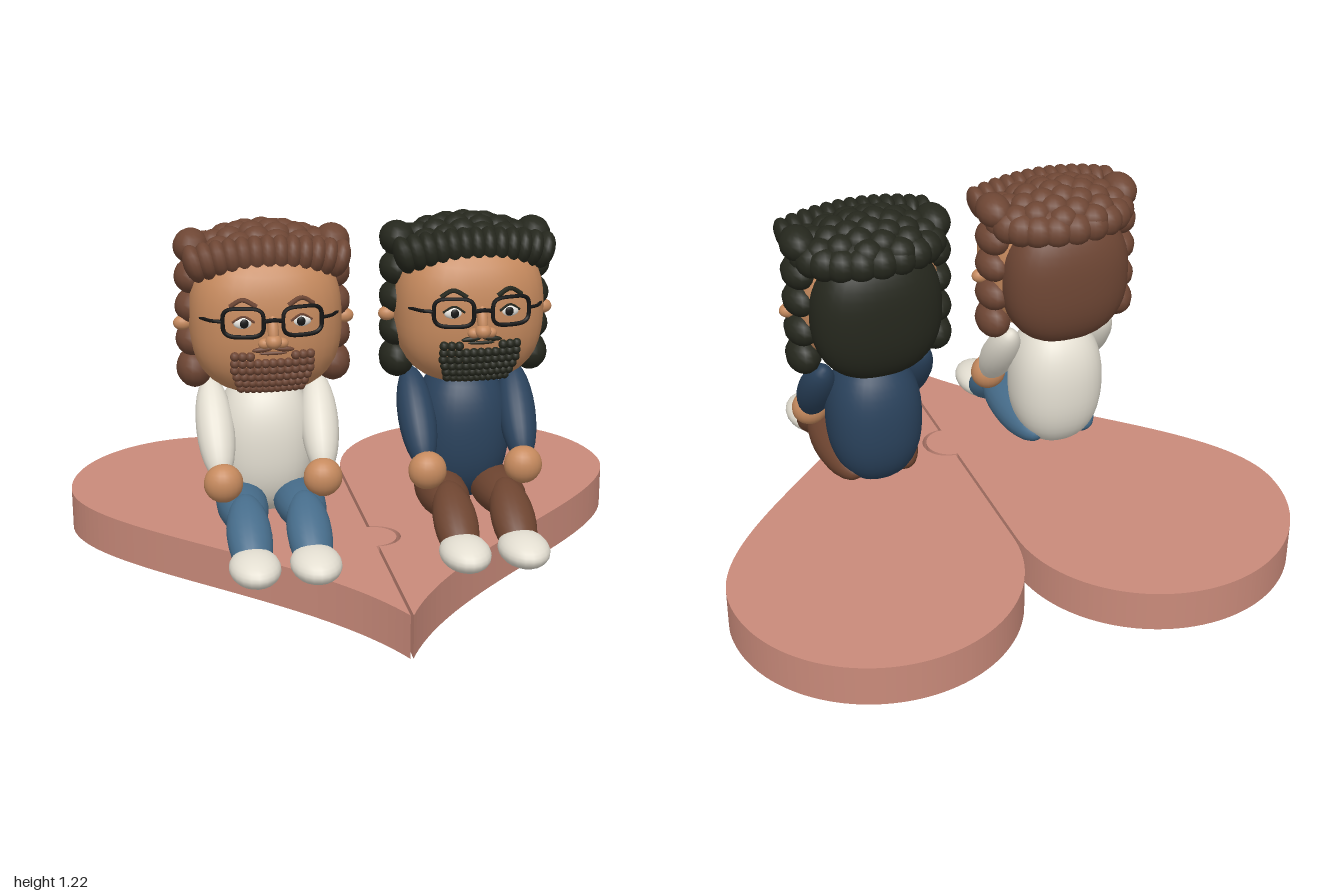
import * as THREE from 'three';

const material = (name, color) => {
  const m = new THREE.MeshStandardMaterial({ color });
  m.name = name;
  return m;
};
const MAT = {
  base: material('dusty rose', 0xc98a7a),
  skin: material('skin', 0xc68a5e),
  brown: material('brown hair', 0x6e4634),
  dark: material('dark hair', 0x25271d),
  cream: material('cream', 0xe4dfd2),
  jeans: material('denim blue', 0x466c8a),
  navy: material('navy', 0x2a425c),
  trousers: material('brown trousers', 0x6d4430),
  black: material('black', 0x151515),
  white: material('white', 0xf2f0ea),
};

// Spheres for body parts, hair curls and small beard curls
const BALL = new THREE.SphereGeometry(1, 20, 14);
const CURL = new THREE.SphereGeometry(1, 14, 10);
const BEAD = new THREE.SphereGeometry(1, 10, 7);
const UP = new THREE.Vector3(0, 1, 0);
const V = (x, y, z) => new THREE.Vector3(x, y, z);

function add(parent, name, geometry, mat) {
  const mesh = new THREE.Mesh(geometry, mat);
  mesh.name = name;
  parent.add(mesh);
  return mesh;
}

function ball(parent, name, mat, pos, radii, geometry = BALL) {
  const mesh = add(parent, name, geometry, mat);
  mesh.position.set(...pos);
  mesh.scale.set(...radii);
  return mesh;
}

// Ellipsoid stretched between two points
function limb(parent, name, mat, a, b, rx, rz = rx) {
  const dir = b.clone().sub(a);
  const mid = a.clone().add(b).multiplyScalar(0.5);
  const mesh = ball(parent, name, mat, mid.toArray(), [rx, dir.length() / 2, rz]);
  mesh.quaternion.setFromUnitVectors(UP, dir.normalize());
}

// Sphere pushed towards a box: higher n is squarer
function softBox(parent, name, mat, pos, radii, n) {
  const g = new THREE.SphereGeometry(1, 36, 24);
  const p = g.attributes.position;
  for (let i = 0; i < p.count; i++) {
    const v = V(0, 0, 0).fromBufferAttribute(p, i);
    const k = (Math.abs(v.x) ** n + Math.abs(v.y) ** n + Math.abs(v.z) ** n) ** (-1 / n);
    p.setXYZ(i, v.x * k * radii[0], v.y * k * radii[1], v.z * k * radii[2]);
  }
  g.computeVertexNormals();
  add(parent, name, g, mat).position.set(...pos);
}

function tube(parent, name, mat, points, radius, closed = false) {
  const curve = new THREE.CatmullRomCurve3(points, closed);
  add(parent, name, new THREE.TubeGeometry(curve, points.length * 3, radius, 6, closed), mat);
}

// Head shape, and the depth of the face at a point on it
const HEAD = { c: [0, 0.91, 0.13], r: [0.25, 0.25, 0.2], n: 2.6 };
function faceZ(x, y) {
  const q = 1 - Math.abs(x / HEAD.r[0]) ** HEAD.n - Math.abs((y - HEAD.c[1]) / HEAD.r[1]) ** HEAD.n;
  return HEAD.c[2] + HEAD.r[2] * Math.max(q, 0) ** (1 / HEAD.n);
}
const onFace = (x, y, lift = 0) => V(x, y, faceZ(x, y) + lift);

// Half of the heart; the right half carries a round tab, the left a notch
function heartHalf(s) {
  const g = 0.005, shape = new THREE.Shape();
  shape.moveTo(s * g, 0.4);
  shape.absarc(s * 0.5, 0.4, 0.5 - g, s > 0 ? Math.PI : 0, s > 0 ? 0 : Math.PI, s > 0);
  shape.bezierCurveTo(s, 0, s * 0.25, -0.35, s * g, -0.88);
  shape.lineTo(s * g, -0.34);
  shape.absarc(s * g, -0.24, s > 0 ? 0.09 : 0.085, -Math.PI / 2, Math.PI / 2, false);
  shape.closePath();
  const geo = new THREE.ExtrudeGeometry(shape, { depth: 0.145, bevelEnabled: false, curveSegments: 48 });
  return geo.rotateX(-Math.PI / 2);
}

function addHair(group, hair) {
  softBox(group, 'backHair', hair, [0, 0.895, 0], [0.225, 0.24, 0.142], 2.4);
  ball(group, 'hairCap', hair, [0, 1.1, 0.06], [0.23, 0.09, 0.18]);
  // Spiral of curls over the crown
  const count = 30;
  for (let i = 0; i < count; i++) {
    const r = Math.sqrt((i + 0.5) / count), a = i * 2.39996;
    ball(group, 'crownCurl', hair,
      [0.205 * r * Math.cos(a), 1.17 - 0.05 * r * r, 0.07 + 0.15 * r * Math.sin(a)], [0.053, 0.05, 0.05], CURL);
  }
  // Rolls round the back of the crown
  for (let i = 0; i <= 10; i++) {
    const a = Math.PI * (1 + i / 10);
    ball(group, 'backCurl', hair, [0.21 * Math.cos(a), 1.1, 0.06 + 0.135 * Math.sin(a)], [0.058, 0.058, 0.058], CURL);
  }
  // Fringe of upright rolls
  for (let i = -6; i <= 6; i++) {
    const t = i / 6;
    const roll = ball(group, 'fringeCurl', hair,
      [0.235 * t, 1.135 - 0.025 * t * t, 0.225 - 0.015 * t * t], [0.034, 0.063, 0.062], CURL);
    roll.rotation.z = -t * 0.3;
  }
  // Column of curls down each side
  for (const s of [-1, 1]) {
    [1.14, 1.04, 0.94, 0.83, 0.73].forEach((y, i) =>
      ball(group, 'sideCurl', hair, [s * 0.232, y, 0.08], [0.06, i === 4 ? 0.066 : 0.058, 0.08], CURL));
  }
}

function addFace(group, hair) {
  for (const s of [-1, 1]) {
    ball(group, 'ear', MAT.skin, [s * 0.268, 0.89, 0.105], [0.032, 0.025, 0.025]);
    // Eyes and brows
    ball(group, 'eye', MAT.white, onFace(s * 0.093, 0.937, -0.004).toArray(), [0.032, 0.019, 0.012], CURL);
    ball(group, 'pupil', MAT.black, onFace(s * 0.091, 0.937, 0.006).toArray(), [0.014, 0.015, 0.005], CURL);
    tube(group, 'eyelid', hair, [onFace(s * 0.058, 0.94, 0.004), onFace(s * 0.093, 0.96, 0.005), onFace(s * 0.128, 0.94, 0.004)], 0.004);
    tube(group, 'brow', hair, [onFace(s * 0.05, 0.99, 0.004), onFace(s * 0.095, 1.012, 0.004), onFace(s * 0.135, 0.99, 0.004)], 0.008);
    // Glasses
    const rim = [];
    for (let i = 0; i < 20; i++) {
      const a = i / 20 * Math.PI * 2, c = Math.cos(a), d = Math.sin(a);
      const x = s * (0.095 + 0.064 * Math.sign(c) * Math.abs(c) ** 0.55);
      rim.push(onFace(x, 0.942 + 0.046 * Math.sign(d) * Math.abs(d) ** 0.55, 0.018));
    }
    tube(group, 'glassesRim', MAT.black, rim, 0.007, true);
    tube(group, 'glassesTemple', MAT.black, [onFace(s * 0.159, 0.945, 0.018), V(s * 0.192, 0.944, 0.3), V(s * 0.222, 0.94, 0.24)], 0.006);
    // Nostril wings and moustache
    ball(group, 'noseWing', MAT.skin, [s * 0.028, 0.87, 0.335], [0.021, 0.017, 0.018], CURL);
    limb(group, 'moustache', hair, onFace(s * 0.002, 0.853, 0.004), onFace(s * 0.068, 0.846, 0.004), 0.009);
  }
  tube(group, 'glassesBridge', MAT.black, [onFace(-0.031, 0.945, 0.018), onFace(0, 0.95, 0.022), onFace(0.031, 0.945, 0.018)], 0.007);
  limb(group, 'noseBridge', MAT.skin, V(0, 0.96, 0.32), V(0, 0.865, 0.352), 0.018);
  ball(group, 'noseTip', MAT.skin, [0, 0.878, 0.345], [0.027, 0.024, 0.027]);
  // Curly beard, open round the mouth
  for (let row = 0; row < 6; row++) {
    const y = 0.826 - row * 0.0245;
    const half = 0.122 - Math.max(0, row - 2) * 0.008;
    for (let i = -5; i <= 5; i++) {
      if (row === 0 && Math.abs(i) < 3) continue;
      ball(group, 'beardCurl', hair, onFace(half * i / 5, y, 0.004).toArray(), [0.0155, 0.0155, 0.017], BEAD);
    }
  }
  limb(group, 'lip', hair, onFace(-0.045, 0.835, 0.002), onFace(0.045, 0.835, 0.002), 0.006);
}

function person(name, x, hair, shirt, trousers) {
  const group = new THREE.Group();
  group.name = name;
  group.position.x = x;
  softBox(group, 'torso', shirt, [0, 0.455, 0.06], [0.165, 0.245, 0.16], 2.3);
  softBox(group, 'head', MAT.skin, HEAD.c, HEAD.r, HEAD.n);
  addHair(group, hair);
  addFace(group, hair);
  for (const s of [-1, 1]) {
    limb(group, 'arm', shirt, V(s * 0.18, 0.68, 0.035), V(s * 0.17, 0.39, 0.275), 0.064);
    ball(group, 'hand', MAT.skin, [s * 0.165, 0.388, 0.285], [0.065, 0.065, 0.056]);
    limb(group, 'thigh', trousers, V(s * 0.095, 0.265, -0.02), V(s * 0.098, 0.29, 0.43), 0.085, 0.075);
    limb(group, 'shin', trousers, V(s * 0.098, 0.34, 0.28), V(s * 0.098, 0.16, 0.56), 0.074, 0.062);
    ball(group, 'shoe', MAT.cream, [s * 0.098, 0.197, 0.555], [0.083, 0.053, 0.121]);
  }
  return group;
}

export function createModel() {
  const model = new THREE.Group();
  model.name = 'seatedCouple';
  add(model, 'rightHeartHalf', heartHalf(-1), MAT.base);
  add(model, 'leftHeartHalf', heartHalf(1), MAT.base);
  model.add(person('rightPerson', -0.342, MAT.brown, MAT.cream, MAT.jeans));
  model.add(person('leftPerson', 0.342, MAT.dark, MAT.navy, MAT.trousers));
  return model;
}
